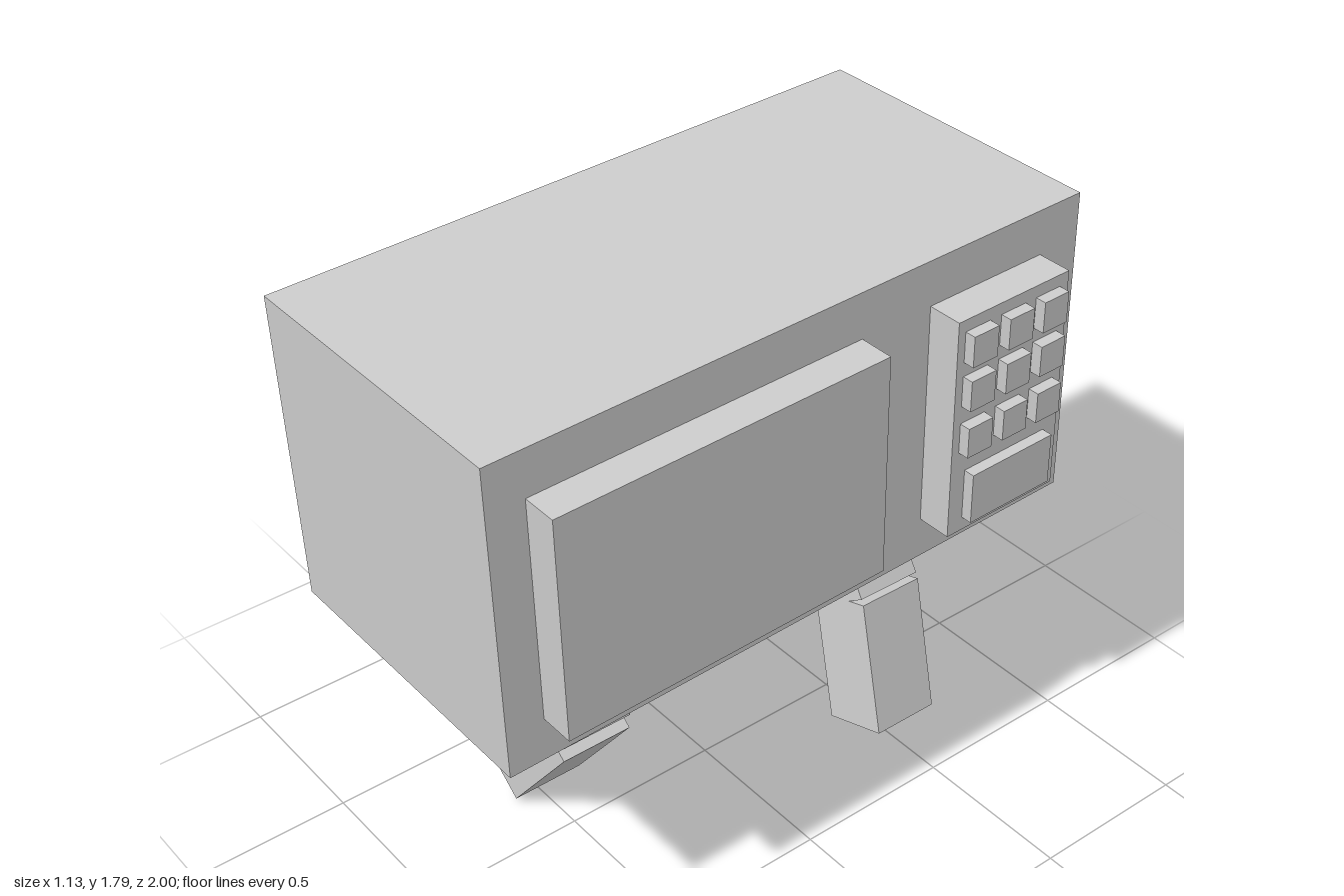
import * as THREE from 'three';

const material = new THREE.MeshStandardMaterial({ color: 0xcccccc, flatShading: true });

// Adds a named box of the given size, centred at pos and turned about z
function addBox(parent, name, size, pos, turn = 0) {
  const mesh = new THREE.Mesh(new THREE.BoxGeometry(...size), material);
  mesh.name = name;
  mesh.position.set(...pos);
  mesh.rotation.z = turn;
  parent.add(mesh);
}

// A two-box leg bent at the knee; part positions are relative to the knee
function makeLeg(name, knee, thigh, shin, tilt = [0, 0]) {
  const leg = new THREE.Group();
  leg.name = name;
  leg.position.set(...knee);
  leg.rotation.set(tilt[0], tilt[1], 0);
  addBox(leg, 'thigh', [0.212, 0.43, 0.235], [thigh[0], thigh[1], 0], thigh[2]);
  addBox(leg, 'shin', [0.212, 0.435, 0.235], [shin[0], shin[1], 0], shin[2]);
  return leg;
}

export function createModel() {
  const model = new THREE.Group();
  model.name = 'walkingMicrowave';

  // Oven body, pitched slightly towards +z
  const oven = new THREE.Group();
  oven.name = 'oven';
  oven.position.set(-0.075, 1.282, 0);
  oven.rotation.x = 0.0253;
  addBox(oven, 'body', [0.99, 0.985, 1.98], [0, 0, 0]);

  // Door and control panel on the +x side
  addBox(oven, 'door', [0.11, 0.705, 1.07], [0.55, -0.003, 0.338]);
  addBox(oven, 'controlPanel', [0.11, 0.71, 0.41], [0.55, -0.004, -0.644]);

  // Three by three keys and the wide button below
  for (const y of [0.265, 0.123, -0.031]) {
    for (const z of [-0.51, -0.642, -0.772]) {
      addBox(oven, 'key', [0.035, 0.097, 0.09], [0.6225, y, z]);
    }
  }
  addBox(oven, 'wideButton', [0.035, 0.163, 0.305], [0.6225, -0.233, -0.645]);
  model.add(oven);

  // Legs in mid-stride
  model.add(makeLeg('frontLeg', [-0.03, 0.4, 0.467],
    [-0.018, 0.203, 0.156], [-0.102, -0.152, -0.663]));
  model.add(makeLeg('backLeg', [0.08, 0.435, -0.545],
    [-0.087, 0.187, 0.607], [0.092, -0.185, 0.285], [-0.065, 0.045]));
  return model;
}
